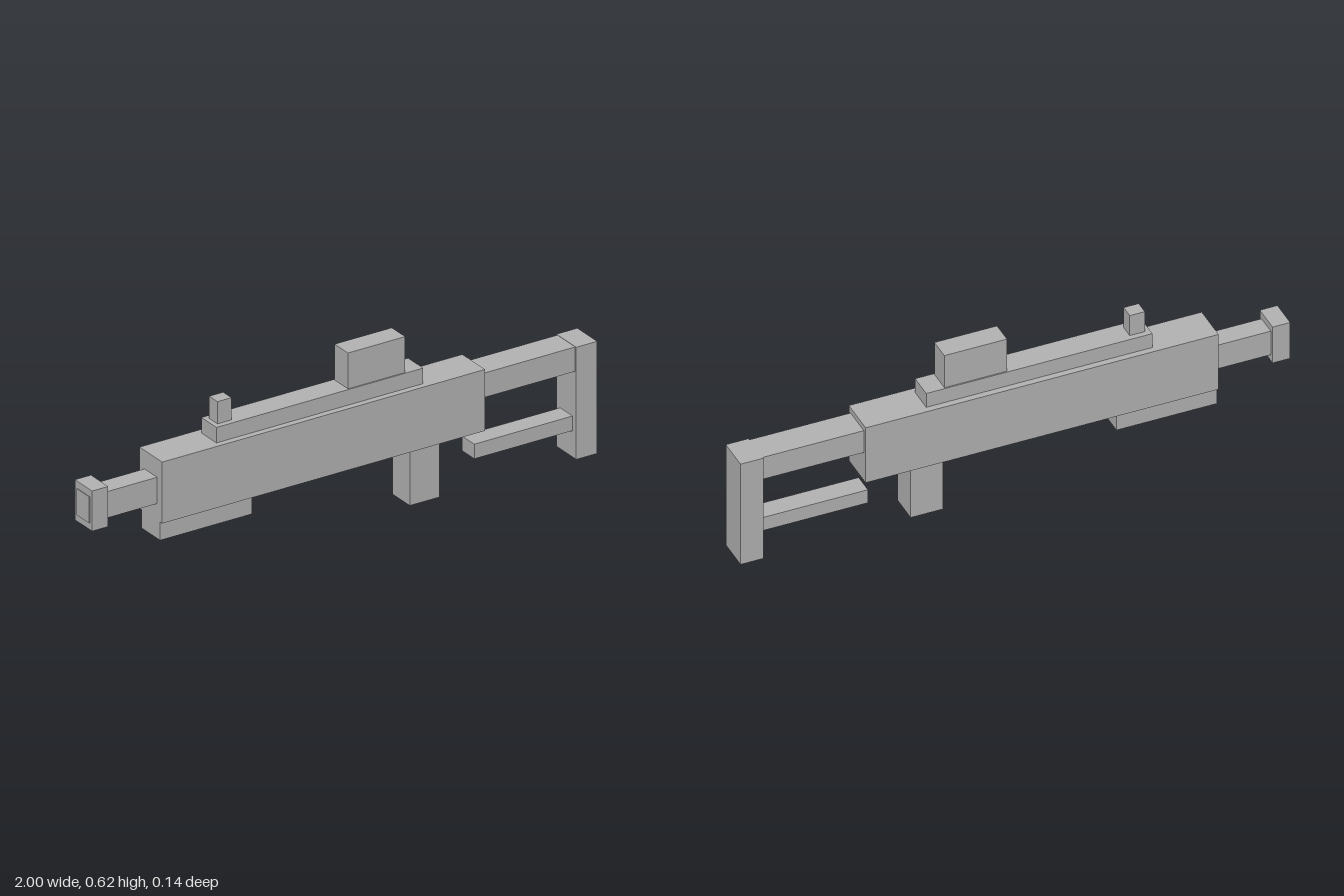
import * as THREE from 'three';

export function createModel() {
  const group = new THREE.Group();
  const grey = new THREE.MeshStandardMaterial({ color: 0xb2b2b2 });
  grey.name = 'grey';

  // Block spanning x0..x1 and y0..y1, centred on z = 0
  function block(name, x0, x1, y0, y1, depth) {
    const mesh = new THREE.Mesh(new THREE.BoxGeometry(x1 - x0, y1 - y0, depth), grey);
    mesh.position.set((x0 + x1) / 2, (y0 + y1) / 2, 0);
    mesh.name = name;
    group.add(mesh);
  }

  // Main body and barrel
  block('body', -0.73, 0.55, 0.207, 0.433, 0.137);
  block('barrel', -1, -0.73, 0.268, 0.365, 0.076);
  block('muzzle', -0.997, -0.933, 0.243, 0.391, 0.104);

  // Top rail and sights
  block('topRail', -0.5, 0.32, 0.433, 0.49, 0.091);
  block('frontSight', -0.482, -0.427, 0.49, 0.572, 0.05);
  block('scope', 0.025, 0.252, 0.49, 0.622, 0.081);

  // Underside
  block('foreGrip', -0.73, -0.365, 0.14, 0.207, 0.112);
  block('handGrip', 0.262, 0.38, 0.002, 0.207, 0.106);

  // Open shoulder frame
  block('stockUpperBar', 0.55, 0.917, 0.322, 0.412, 0.108);
  block('stockLowerBar', 0.528, 0.917, 0.097, 0.151, 0.075);
  block('buttPlate', 0.917, 1, 0, 0.413, 0.12);

  return group;
}
